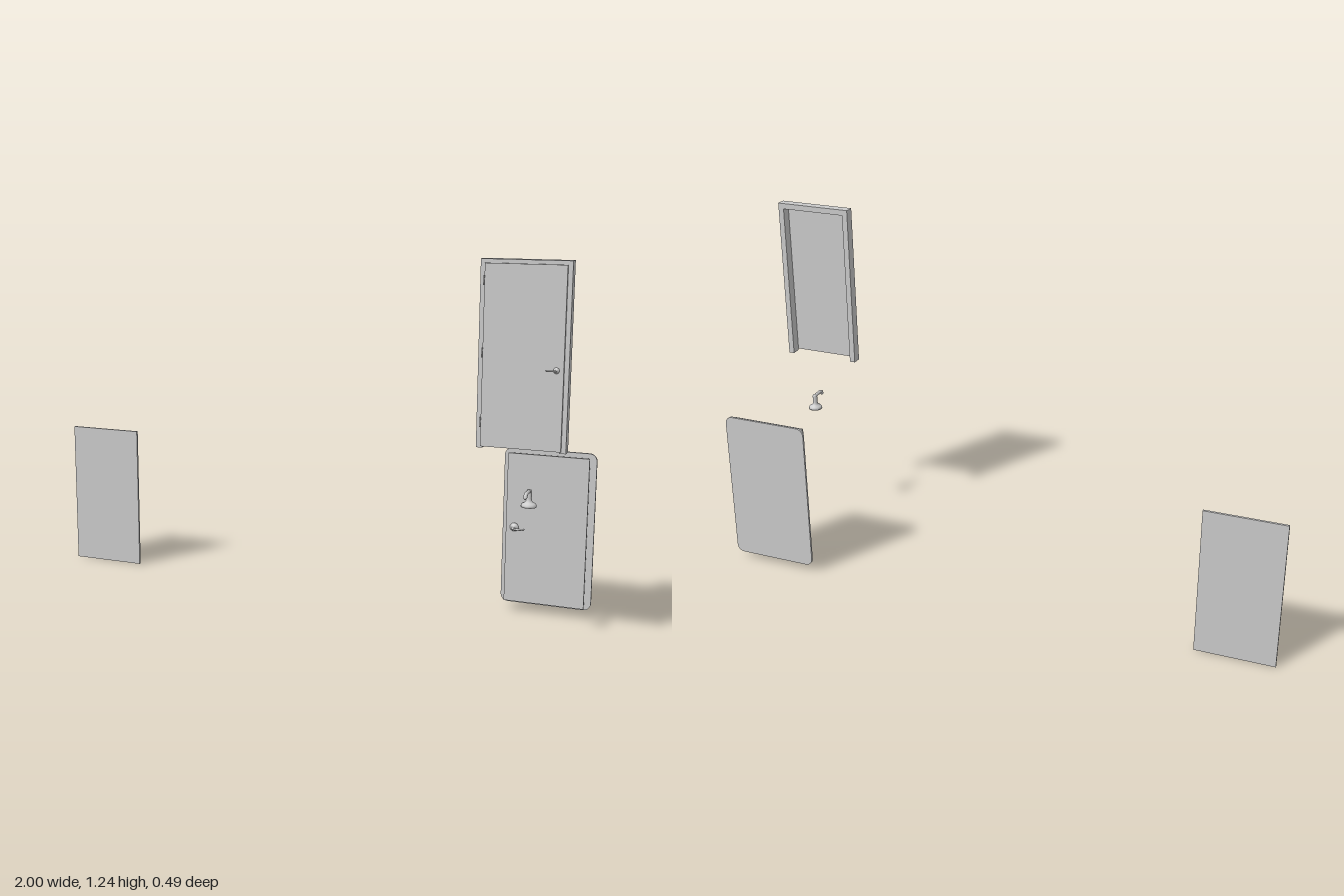
import * as THREE from 'three';

const mat = new THREE.MeshStandardMaterial({ color: 0xcccccc });

function add(parent, name, geo) {
  const mesh = new THREE.Mesh(geo, mat);
  mesh.name = name;
  parent.add(mesh);
  return mesh;
}

// Box given by its extents
function slab(parent, name, [x0, x1], [y0, y1], [z0, z1]) {
  const mesh = add(parent, name, new THREE.BoxGeometry(x1 - x0, y1 - y0, z1 - z0));
  mesh.position.set((x0 + x1) / 2, (y0 + y1) / 2, (z0 + z1) / 2);
  return mesh;
}

function extrude(shape, z0, z1) {
  const geo = new THREE.ExtrudeGeometry(shape, { depth: z1 - z0, bevelEnabled: false, curveSegments: 8 });
  return geo.translate(0, 0, z0);
}

// Lever handle: rose and stem along local +y, lever along local +z, tip curling back
function makeHandle(name, stretch = 1) {
  const g = new THREE.Group();
  g.name = name;
  const profile = [
    [0, 0], [0.0245, 0], [0.0245, 0.006], [0.021, 0.011], [0.013, 0.015],
    [0.0095, 0.02], [0.0085, 0.028], [0.0085, 0.051], [0.006, 0.056], [0, 0.058],
  ].map(([r, y]) => new THREE.Vector2(r, y));
  add(g, 'roseAndStem', new THREE.LatheGeometry(profile, 24));
  const path = new THREE.CatmullRomCurve3([
    [0, 0.05, 0], [0, 0.051, 0.02], [0, 0.051, 0.04], [0, 0.048, 0.05], [0, 0.041, 0.053],
  ].map(([x, y, z]) => new THREE.Vector3(x, y, z * stretch)));
  add(g, 'lever', new THREE.TubeGeometry(path, 20, 0.006, 12));
  const tip = add(g, 'leverTip', new THREE.SphereGeometry(0.006, 12, 8));
  tip.position.copy(path.getPoint(1));
  return g;
}

// Turn a handle so its stem points to +z and its lever to the given x side
function mountOnDoor(handle, side, scale, x, y, z) {
  const stem = new THREE.Vector3(0, 0, 1);
  const lever = new THREE.Vector3(side, 0, 0);
  const across = new THREE.Vector3().crossVectors(stem, lever);
  handle.quaternion.setFromRotationMatrix(new THREE.Matrix4().makeBasis(across, stem, lever));
  handle.scale.setScalar(scale);
  handle.position.set(x, y, z);
  return handle;
}

export function createModel() {
  const model = new THREE.Group();

  // Plain panel standing apart
  slab(model, 'plainPanel', [-1, -0.726], [0, 0.522], [-0.219, -0.211]);

  // Door hung in its frame
  const framed = new THREE.Group();
  framed.name = 'framedDoor';
  model.add(framed);
  const frame = new THREE.Shape([
    [0.703, 0.66], [0.723, 0.66], [0.723, 1.218], [0.96, 1.218],
    [0.96, 0.66], [0.98, 0.66], [0.98, 1.238], [0.703, 1.238],
  ].map(([x, y]) => new THREE.Vector2(x, y)));
  add(framed, 'doorFrame', extrude(frame, 0.182, 0.216));
  slab(framed, 'doorLeaf', [0.718, 0.966], [0.666, 1.226], [0.217, 0.225]);
  for (const y of [0.742, 0.957, 1.175]) {
    add(framed, 'hinge', new THREE.CylinderGeometry(0.002, 0.002, 0.03, 10))
      .position.set(0.718, y, 0.231);
  }
  framed.add(mountOnDoor(makeHandle('framedDoorHandle', 1.4), -1, 0.38, 0.944, 0.913, 0.224));

  // Rounded door: leaf in front of a larger rounded plate
  const rounded = new THREE.Group();
  rounded.name = 'roundedDoor';
  model.add(rounded);
  const [x0, x1, y0, y1, r] = [0.689, 1, 0.026, 0.571, 0.026];
  const plate = new THREE.Shape();
  plate.absarc(x1 - r, y0 + r, r, -Math.PI / 2, 0);
  plate.absarc(x1 - r, y1 - r, r, 0, Math.PI / 2);
  plate.absarc(x0 + r, y1 - r, r, Math.PI / 2, Math.PI);
  plate.absarc(x0 + r, y0 + r, r, Math.PI, Math.PI * 1.5);
  add(rounded, 'backPlate', extrude(plate, -0.245, -0.237));
  slab(rounded, 'doorLeaf', [0.706, 0.98], [0.037, 0.558], [-0.219, -0.211]);
  rounded.add(mountOnDoor(makeHandle('roundedDoorHandle', 1.15), 1, 0.6, 0.735, 0.301, -0.212));

  // Loose handle resting on its rose
  const loose = makeHandle('looseHandle');
  loose.position.set(0.857, 0.467, 0.139);
  model.add(loose);

  return model;
}
